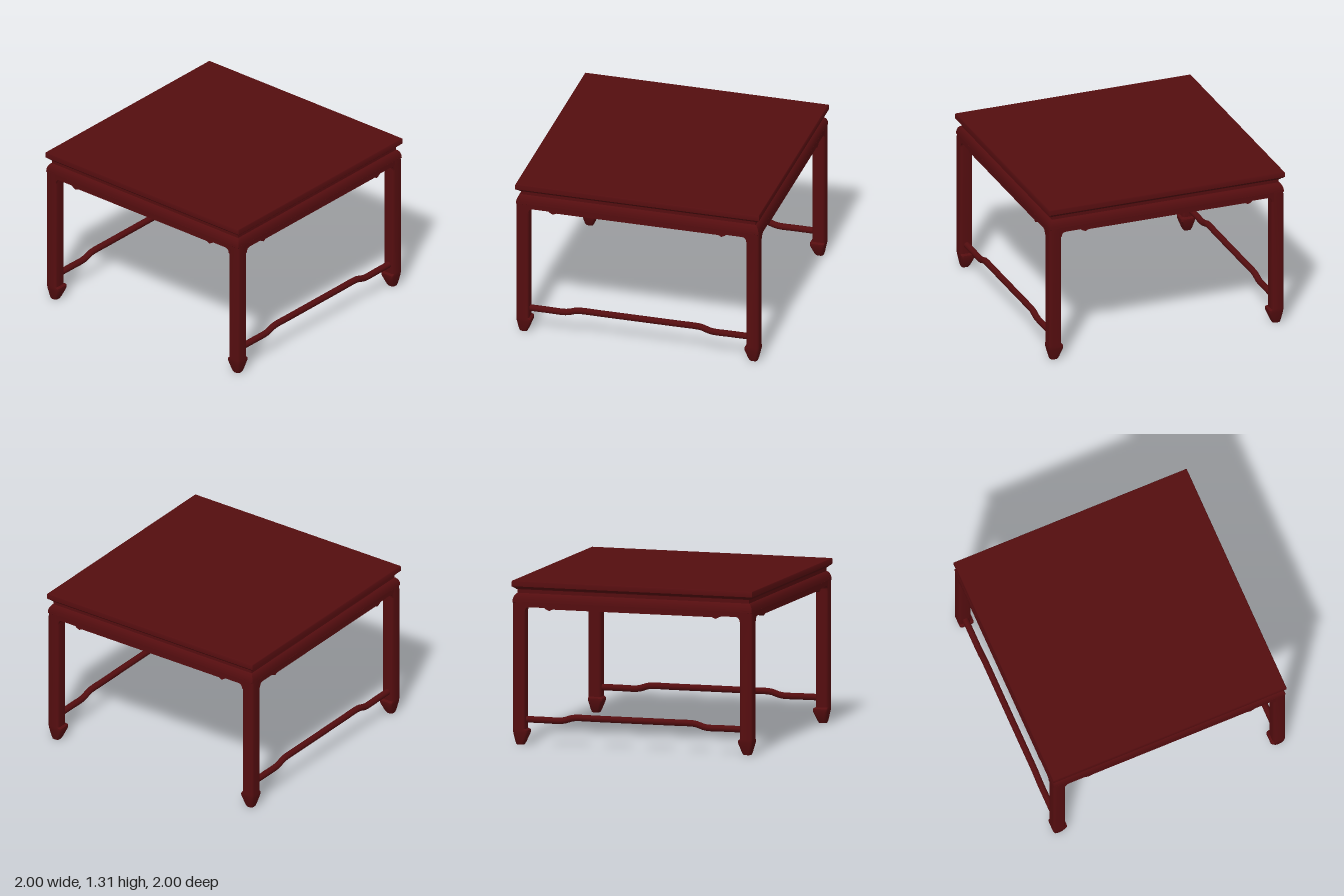
import * as THREE from 'three';
import { toCreasedNormals } from 'three/addons/utils/BufferGeometryUtils.js';

const lacquer = new THREE.MeshStandardMaterial({ color: 0x540d0f });
lacquer.name = 'dark red lacquer';

function addMesh(parent, name, geometry) {
  const mesh = new THREE.Mesh(geometry, lacquer);
  mesh.name = name;
  parent.add(mesh);
  return mesh;
}

// Square moulding turned from a profile of [half width, y], listed bottom to top on the outside
function squareLathe(profile) {
  const points = profile.map(([half, y]) => new THREE.Vector2(half * Math.SQRT2, y));
  const geometry = new THREE.LatheGeometry(points, 4);
  geometry.rotateY(Math.PI / 4);
  return toCreasedNormals(geometry, 0.6);
}

// Rounded square post in the +x +z corner, lofted through levels of [y, inner, outer]
function cornerPost(levels, round) {
  const steps = 3;
  const ring = (steps + 1) * 4;
  const positions = [];
  const index = [];
  for (const [y, inner, outer] of levels) {
    const mid = (inner + outer) / 2;
    const flat = (outer - inner) / 2 - round;
    for (let corner = 0; corner < 4; corner++) {
      const sx = corner === 0 || corner === 3 ? 1 : -1;
      const sz = corner < 2 ? 1 : -1;
      for (let s = 0; s <= steps; s++) {
        const a = (corner + s / steps) * Math.PI / 2;
        positions.push(mid + sx * flat + Math.cos(a) * round, y, mid + sz * flat + Math.sin(a) * round);
      }
    }
  }
  for (let l = 0; l < levels.length - 1; l++) {
    for (let i = 0; i < ring; i++) {
      const a = l * ring + i;
      const b = l * ring + (i + 1) % ring;
      index.push(a, a + ring, b, b, a + ring, b + ring);
    }
  }
  const last = (levels.length - 1) * ring;
  for (let i = 1; i < ring - 1; i++) {
    index.push(0, i, i + 1);
    index.push(last, last + i + 1, last + i);
  }
  const geometry = new THREE.BufferGeometry();
  geometry.setAttribute('position', new THREE.Float32BufferAttribute(positions, 3));
  geometry.setIndex(index);
  return toCreasedNormals(geometry, 0.6);
}

// Lower apron edge with rounded leg joints and small pointed drops
function apronGeometry() {
  const shape = new THREE.Shape();
  shape.moveTo(-0.91, 1.14);
  shape.lineTo(-0.91, 1.06);
  shape.lineTo(-0.893, 1.06);
  shape.quadraticCurveTo(-0.893, 1.1, -0.855, 1.1);
  const edge = [[-0.73, 1.1], [-0.715, 1.088], [-0.69, 1.077], [-0.665, 1.09]];
  for (const [x, y] of edge) shape.lineTo(x, y);
  for (const [x, y] of edge.slice().reverse()) shape.lineTo(-x, y);
  shape.lineTo(0.855, 1.1);
  shape.quadraticCurveTo(0.893, 1.1, 0.893, 1.06);
  shape.lineTo(0.91, 1.06);
  shape.lineTo(0.91, 1.14);
  const geometry = new THREE.ExtrudeGeometry(shape, { depth: 0.085, bevelEnabled: false, curveSegments: 6 });
  return geometry.translate(0, 0, 0.91);
}

export function createModel() {
  const table = new THREE.Group();
  table.name = 'squareTable';

  // Top slab with a moulded edge and recessed waist
  addMesh(table, 'tableTop', squareLathe([
    [0, 1.235], [0.955, 1.235], [0.972, 1.237], [0.978, 1.246], [0.99, 1.253],
    [1, 1.262], [1, 1.3], [0.996, 1.306], [0, 1.306],
  ]));

  // Hollow frame: inner slope, underside, curved shoulder and waist
  addMesh(table, 'apronFrame', squareLathe([
    [0.86, 1.236], [0.895, 1.13], [0.991, 1.13], [0.995, 1.135], [0.993, 1.16],
    [0.985, 1.185], [0.972, 1.202], [0.963, 1.207], [0.963, 1.236],
  ]));

  const legGeometry = cornerPost([
    [0, 0.912, 0.974], [0.02, 0.902, 0.98], [0.095, 0.874, 0.994], [0.115, 0.876, 0.996],
    [0.127, 0.892, 0.996], [1.1, 0.892, 0.996], [1.15, 0.892, 0.994],
  ], 0.02);
  const apron = apronGeometry();
  for (let i = 0; i < 4; i++) {
    const turn = i * Math.PI / 2;
    addMesh(table, 'leg', legGeometry).rotation.y = turn;
    addMesh(table, 'apron', apron).rotation.y = turn;
  }

  // Humped stretchers on the left and right sides
  const half = [[0.92, 0.2], [0.75, 0.2], [0.61, 0.2], [0.57, 0.207], [0.52, 0.224], [0.48, 0.229], [0.3, 0.229]];
  const path = [
    ...half.map(([z, y]) => new THREE.Vector3(0, y, z)),
    ...half.slice().reverse().map(([z, y]) => new THREE.Vector3(0, y, -z)),
  ];
  const stretcher = new THREE.TubeGeometry(new THREE.CatmullRomCurve3(path), 64, 0.026, 10);
  for (const side of [-1, 1]) {
    addMesh(table, 'stretcher', stretcher).position.x = side * 0.944;
  }
  return table;
}
